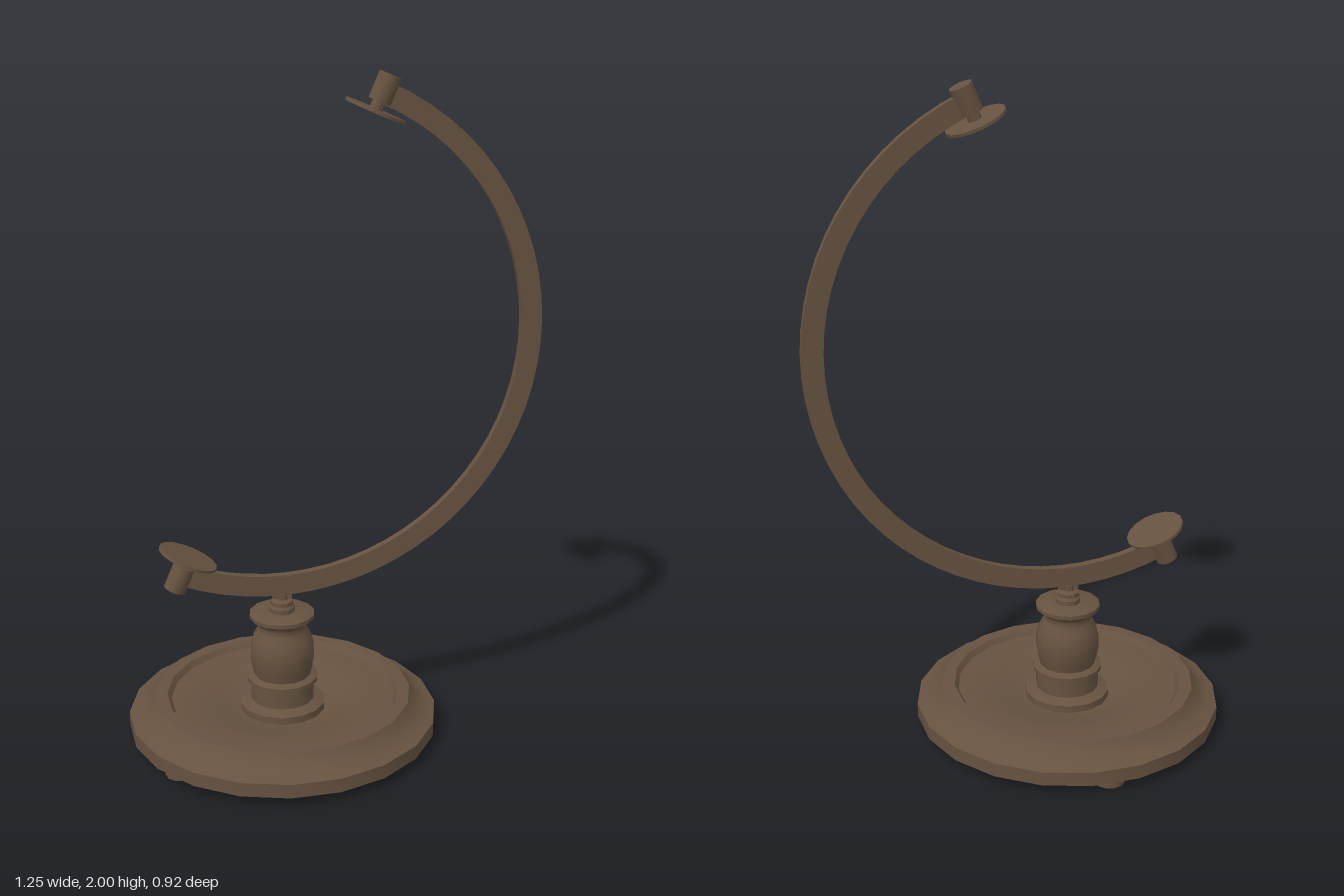
import * as THREE from 'three';
import { toCreasedNormals } from 'three/addons/utils/BufferGeometryUtils.js';

const wood = new THREE.MeshStandardMaterial({ color: 0x665240 });
wood.name = 'dark brown';

const AXIS_X = -0.165;                              // centre of base and arc
const ARC_Y = 1.24;
const TILT = THREE.MathUtils.degToRad(23.5);        // lean of the pivot axis

function part(name, geometry, parent) {
  const mesh = new THREE.Mesh(toCreasedNormals(geometry, 0.6), wood);
  mesh.name = name;
  parent.add(mesh);
  return mesh;
}

function turned(name, profile, sides, parent) {
  const points = profile.map(([r, y]) => new THREE.Vector2(r, y));
  const geometry = new THREE.LatheGeometry(points, sides);
  geometry.rotateY(Math.PI / sides);
  return part(name, geometry, parent);
}

export function createModel() {
  const model = new THREE.Group();
  model.name = 'globeStand';
  const stand = new THREE.Group();
  stand.name = 'stand';
  stand.position.x = AXIS_X;
  model.add(stand);

  // Round base: coved edge, flat rim and a shallow dish
  turned('base', [
    [0, 0.03], [0.468, 0.03], [0.468, 0.073], [0.45, 0.078], [0.422, 0.092],
    [0.402, 0.112], [0.39, 0.13], [0.352, 0.13], [0.34, 0.113], [0.29, 0.112],
    [0.22, 0.103], [0.17, 0.085], [0.13, 0.078], [0, 0.078],
  ], 20, stand);

  // Three feet
  for (let i = 0; i < 3; i++) {
    const a = Math.PI / 6 + i * Math.PI * 2 / 3;
    const foot = part('foot', new THREE.CylinderGeometry(0.047, 0.047, 0.034, 12), stand);
    foot.position.set(0.4 * Math.cos(a), 0.017, 0.4 * Math.sin(a));
  }

  // Turned pedestal: collar, vase and flared lip
  turned('collar', [
    [0.13, 0.075], [0.13, 0.1], [0.097, 0.112], [0.097, 0.165], [0.107, 0.17],
    [0.107, 0.183], [0.095, 0.19], [0, 0.19],
  ], 14, stand);
  turned('vase', [
    [0.084, 0.185], [0.092, 0.215], [0.098, 0.25], [0.097, 0.285], [0.088, 0.315],
    [0.074, 0.34], [0.074, 0.355], [0.084, 0.37], [0.099, 0.378], [0.099, 0.39],
    [0.085, 0.396], [0, 0.396],
  ], 14, stand);
  turned('stem', [
    [0.04, 0.394], [0.04, 0.41], [0.034, 0.418], [0.034, 0.43], [0.02, 0.436],
    [0.02, 0.455], [0, 0.455],
  ], 10, stand);

  // Clip holding the arc on the stem
  const clip = part('clip', new THREE.BoxGeometry(0.058, 0.07, 0.03), stand);
  clip.position.y = 0.477;

  // Half-circle arm, a flat bar between the two pivots
  const arc = new THREE.Group();
  arc.name = 'arc';
  arc.position.y = ARC_Y;
  arc.rotation.z = -TILT;
  stand.add(arc);
  const shape = new THREE.Shape();
  shape.absarc(0, 0, 0.79, -Math.PI / 2, Math.PI / 2, false);
  shape.absarc(0, 0, 0.727, Math.PI / 2, -Math.PI / 2, true);
  const bar = new THREE.ExtrudeGeometry(shape, { depth: 0.024, bevelEnabled: false, curveSegments: 18 });
  bar.translate(0, 0, -0.012);
  part('arm', bar, arc);

  // Pivot knob, pin and bearing disc at each end
  for (const side of [1, -1]) {
    const pivot = new THREE.Group();
    pivot.name = side > 0 ? 'topPivot' : 'bottomPivot';
    pivot.rotation.z = side > 0 ? 0 : Math.PI;
    arc.add(pivot);
    part('knob', new THREE.CylinderGeometry(0.034, 0.034, 0.08, 12), pivot).position.y = 0.77;
    part('pin', new THREE.CylinderGeometry(0.02, 0.02, 0.04, 10), pivot).position.y = 0.72;
    part('disc', new THREE.CylinderGeometry(0.091, 0.091, 0.009, 16), pivot).position.y = 0.703;
  }
  return model;
}
